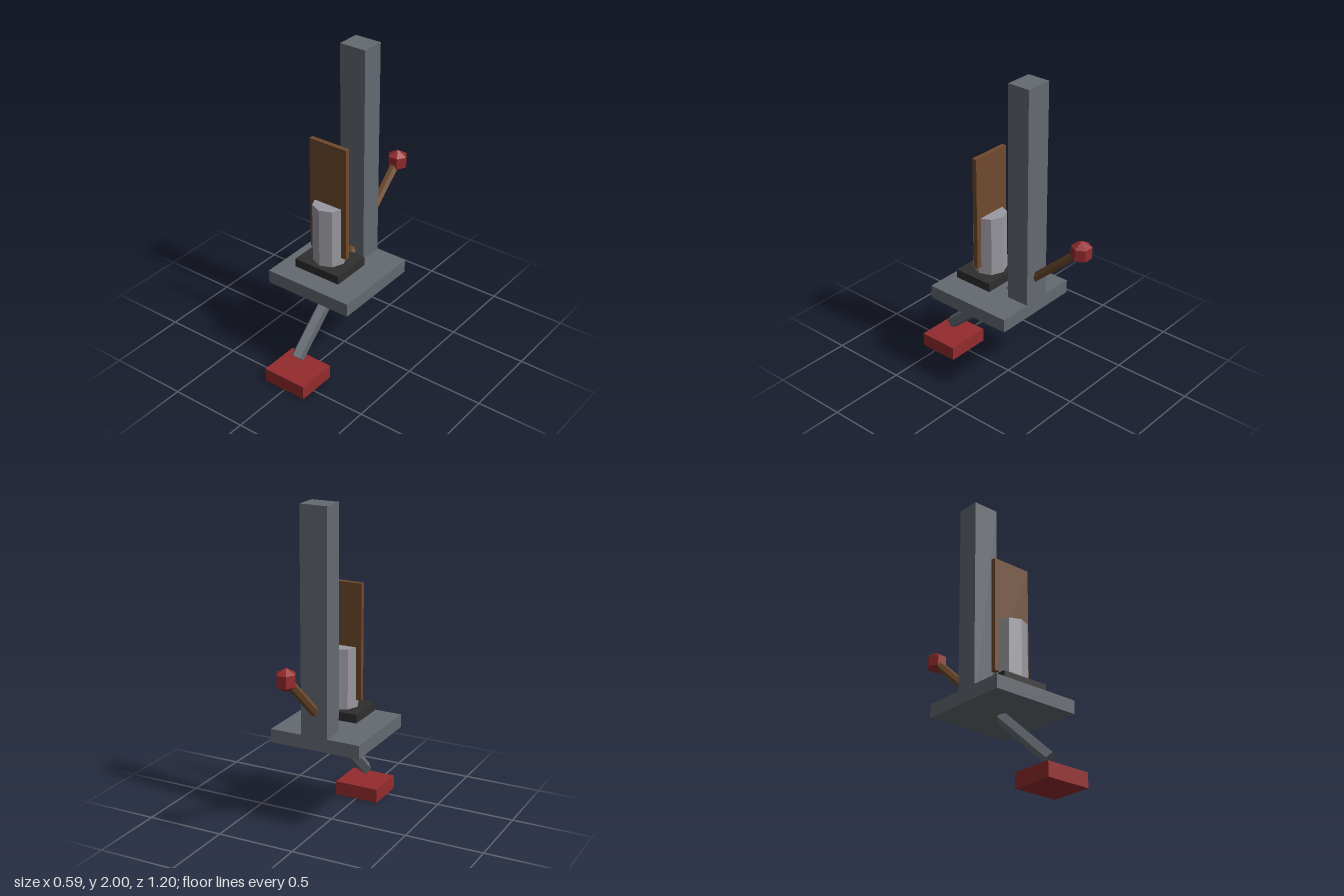
import * as THREE from 'three';

const paint = (name, color) => {
  const m = new THREE.MeshStandardMaterial({ color, flatShading: true });
  m.name = name;
  return m;
};

export function createModel() {
  const steel = paint('steel grey', 0x646a71);
  const silver = paint('light grey', 0x9a98a0);
  const wood = paint('wood brown', 0x6f4a2d);
  const red = paint('red', 0x942b2d);
  const black = paint('dark rubber', 0x2e2e2e);

  const model = new THREE.Group();
  model.name = 'leverMachine';

  const add = (name, geometry, material, x, y, z) => {
    const mesh = new THREE.Mesh(geometry, material);
    mesh.name = name;
    mesh.position.set(x, y, z);
    model.add(mesh);
    return mesh;
  };

  // Box given by its width and its y and z ranges
  const box = (name, material, width, y0, y1, z0, z1) =>
    add(name, new THREE.BoxGeometry(width, y1 - y0, z1 - z0), material,
      0, (y0 + y1) / 2, (z0 + z1) / 2);

  // Straight bar between two points on the centre plane
  const bar = (name, material, radius, sides, start, from, to) => {
    const dir = to.clone().sub(from);
    const geo = new THREE.CylinderGeometry(radius, radius, dir.length(), sides, 1, false, start);
    const mid = from.clone().add(to).multiplyScalar(0.5);
    const mesh = add(name, geo, material, mid.x, mid.y, mid.z);
    mesh.quaternion.setFromUnitVectors(new THREE.Vector3(0, 1, 0), dir.normalize());
  };

  // Frame
  box('basePlate', steel, 0.588, 0.535, 0.62, -0.222, 0.365);
  box('post', steel, 0.174, 0.62, 2, -0.222, -0.075);

  // Floating pad, drum and board
  box('pad', black, 0.32, 0.655, 0.71, 0.012, 0.274);
  add('drum', new THREE.CylinderGeometry(0.103, 0.103, 0.38, 8), silver, 0, 0.9, 0.143);
  box('board', wood, 0.262, 0.757, 1.486, 0.13, 0.16);

  // Pedal
  box('pedal', red, 0.292, 0, 0.09, 0.34, 0.6);

  // Slanted lever: grey sleeve, wooden rod and knob on one axis
  const knob = new THREE.Vector3(0, 1.076, -0.546);
  const foot = new THREE.Vector3(0, 0.165, 0.472);
  const along = (t) => foot.clone().lerp(knob, t);
  bar('leverSleeve', steel, 0.042, 5, -Math.PI / 2, foot, along(0.392));
  bar('leverRod', wood, 0.029, 6, Math.PI / 2, along(0.36), knob);
  add('leverKnob', new THREE.SphereGeometry(0.071, 6, 3), red, knob.x, knob.y, knob.z);

  return model;
}
